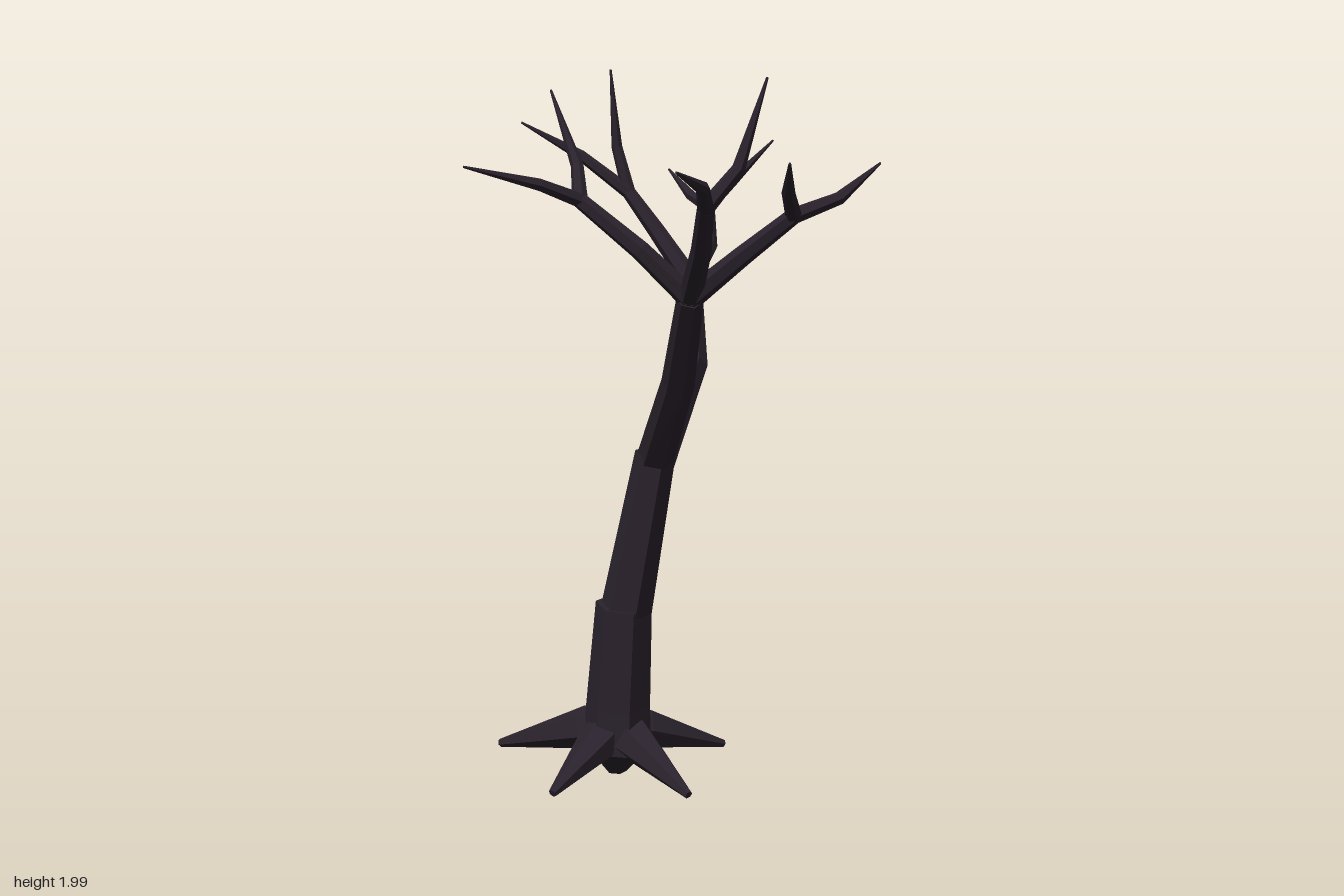
import * as THREE from 'three';

const SIDES = 6;
const bark = new THREE.MeshStandardMaterial({ color: 0x2a222c, flatShading: true });

// Tapered limb swept through stations of [x, y, z, radius], capped at both ends
function limb(name, stations) {
  const pts = stations.map(([x, y, z]) => new THREE.Vector3(x, y, z));
  const last = pts.length - 1;
  const pos = [], index = [];
  const turn = new THREE.Quaternion();
  let prev = new THREE.Vector3(0, 1, 0);
  pts.forEach((p, i) => {
    const dir = new THREE.Vector3();
    if (i > 0) dir.add(p.clone().sub(pts[i - 1]).normalize());
    if (i < last) dir.add(pts[i + 1].clone().sub(p).normalize());
    dir.normalize();
    turn.premultiply(new THREE.Quaternion().setFromUnitVectors(prev, dir));
    prev = dir;
    for (let s = 0; s < SIDES; s++) {
      const a = (s / SIDES) * Math.PI * 2, r = stations[i][3];
      const v = new THREE.Vector3(Math.sin(a) * r, 0, Math.cos(a) * r).applyQuaternion(turn).add(p);
      pos.push(v.x, v.y, v.z);
    }
  });
  for (let i = 0; i < last; i++) {
    for (let s = 0; s < SIDES; s++) {
      const a = i * SIDES + s, b = i * SIDES + (s + 1) % SIDES;
      index.push(a, b, b + SIDES, a, b + SIDES, a + SIDES);
    }
  }
  const top = last * SIDES;
  for (let s = 1; s < SIDES - 1; s++) {
    index.push(0, s + 1, s, top, top + s, top + s + 1);
  }
  const geo = new THREE.BufferGeometry();
  geo.setAttribute('position', new THREE.Float32BufferAttribute(pos, 3));
  geo.setIndex(index);
  geo.computeVertexNormals();
  const mesh = new THREE.Mesh(geo, bark);
  mesh.name = name;
  return mesh;
}

// Branch from a fork through a bend to a second fork, which carries two pointed twigs
function branch(name, from, bend, fork, twigs) {
  const g = new THREE.Group();
  g.name = name;
  g.add(limb('stem', [[...from, 0.03], [...bend, 0.025], [...fork, 0.02]]));
  for (const [mid, tip] of twigs) {
    g.add(limb('twig', [[...fork, 0.02], [...mid, 0.016], [...tip, 0.003]]));
  }
  return g;
}

export function createModel() {
  const tree = new THREE.Group();
  tree.name = 'bareTree';

  // Trunk: a thick lower part with a small step to the leaning upper part
  tree.add(limb('lowerTrunk', [
    [-0.05, 0.01, -0.24, 0.03], [-0.05, 0.09, -0.235, 0.1],
    [-0.05, 0.22, -0.22, 0.092], [-0.045, 0.52, -0.185, 0.08]]));
  tree.add(limb('upperTrunk', [[-0.04, 0.49, -0.185, 0.073], [0.015, 0.96, -0.095, 0.056]]));

  // Roots spread in a five-pointed star
  const rootTips = [[-0.31, -0.53], [0.05, -0.615], [0.305, -0.28], [-0.295, -0.085], [0.05, 0.065]];
  for (const [x, z] of rootTips) {
    tree.add(limb('root', [[-0.05, 0.15, -0.24, 0.06],
      [-0.05 + (x + 0.05) * 0.25, 0.125, -0.24 + (z + 0.24) * 0.25, 0.062], [x, 0.03, z, 0.012]]));
  }

  // Front bough with three branches
  const frontFork = [-0.06, 1.43, 0.33];
  tree.add(limb('frontBough', [[0.015, 0.94, -0.1, 0.052], [-0.01, 1.19, 0.13, 0.044], [...frontFork, 0.034]]));
  tree.add(branch('frontRightBranch', frontFork, [-0.18, 1.55, 0.3], [-0.31, 1.67, 0.23], [
    [[-0.42, 1.71, 0.255], [-0.61, 1.755, 0.26]],
    [[-0.285, 1.75, 0.14], [-0.31, 1.935, 0.015]]]));
  tree.add(branch('frontLeftBranch', frontFork, [0.03, 1.54, 0.44], [0.115, 1.64, 0.545], [
    [[0.23, 1.68, 0.555], [0.36, 1.76, 0.515]],
    [[0.05, 1.7, 0.65], [-0.01, 1.77, 0.78]]]));
  tree.add(branch('frontMiddleBranch', frontFork, [-0.09, 1.56, 0.47], [-0.135, 1.665, 0.6], [
    [[-0.055, 1.755, 0.605], [0.015, 1.96, 0.605]],
    [[-0.18, 1.715, 0.69], [-0.295, 1.755, 0.815]]]));

  // Back bough with two branches
  const backFork = [0.235, 1.405, -0.38];
  tree.add(limb('backBough', [[0.02, 0.94, -0.1, 0.052], [0.165, 1.19, -0.2, 0.046], [...backFork, 0.034]]));
  tree.add(branch('backLeftBranch', backFork, [0.335, 1.495, -0.475], [0.385, 1.6, -0.6], [
    [[0.47, 1.675, -0.61], [0.605, 1.795, -0.615]],
    [[0.37, 1.63, -0.7], [0.345, 1.705, -0.815]]]));
  tree.add(branch('backRightBranch', backFork, [0.17, 1.54, -0.475], [0.11, 1.65, -0.545], [
    [[0.085, 1.78, -0.575], [0.065, 2.0, -0.57]],
    [[-0.01, 1.755, -0.62], [-0.17, 1.85, -0.685]]]));

  return tree;
}
